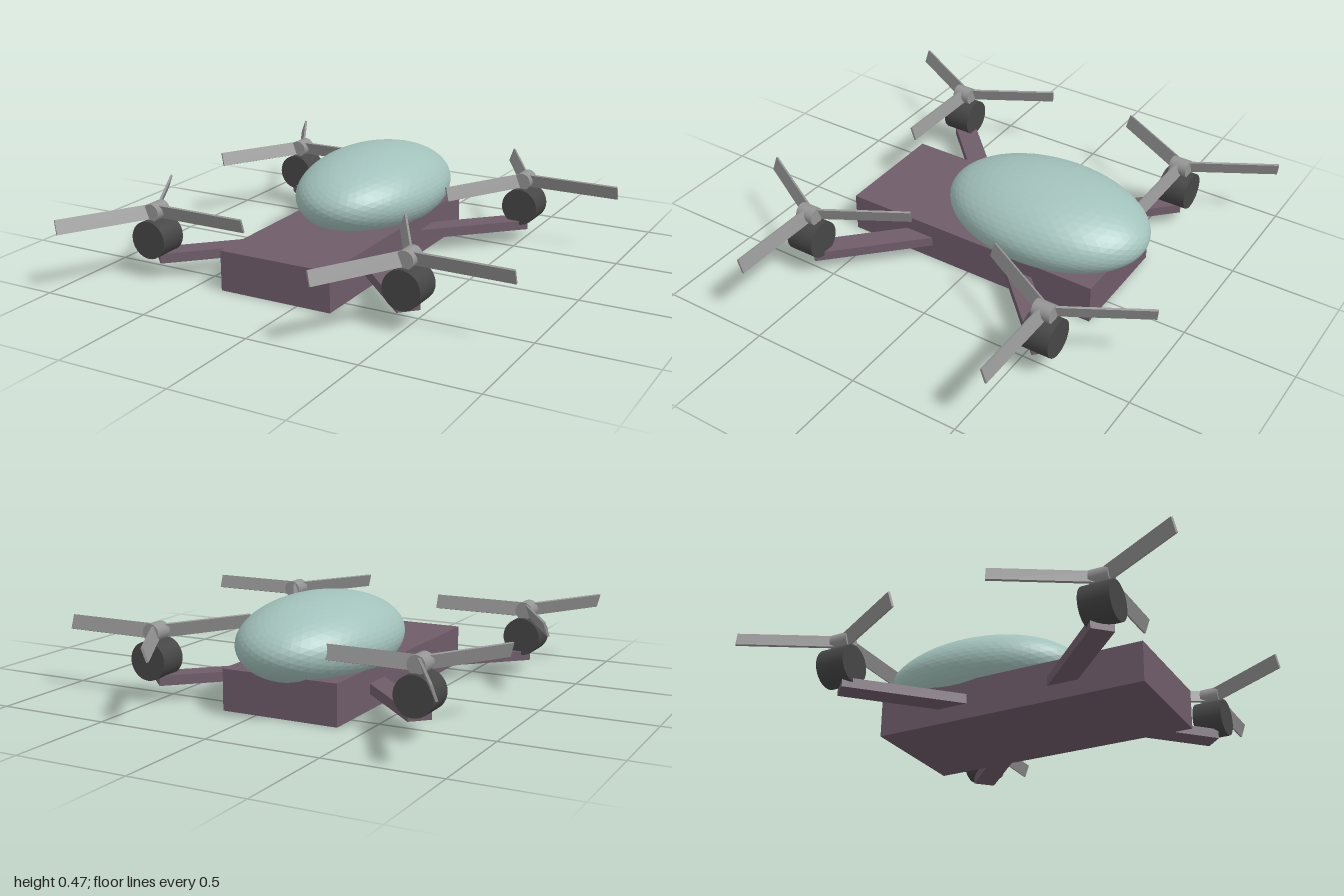
import * as THREE from 'three';

const material = (color, flatShading = false) => new THREE.MeshStandardMaterial({ color, flatShading });

function part(name, geometry, mat, x = 0, y = 0, z = 0) {
  const mesh = new THREE.Mesh(geometry, mat);
  mesh.name = name;
  mesh.position.set(x, y, z);
  return mesh;
}

export function createModel() {
  const model = new THREE.Group();
  model.name = 'quadcopter';

  const frameMat = material(0x6f5c6a);
  const domeMat = material(0xa3c2bc, true);
  const motorMat = material(0x464646);
  const rotorMat = material(0x959595);

  const centreX = -0.108; // the blades reach further to +x, so the body sits off centre
  const motorX = 0.614, motorZ = 0.603;

  // Body slab
  model.add(part('body', new THREE.BoxGeometry(0.535, 0.18, 1.25), frameMat, centreX, 0.09, 0));

  // Egg-shaped canopy sunk into the rear of the body
  const dome = new THREE.IcosahedronGeometry(1, 9).scale(0.32, 0.19, 0.482);
  model.add(part('canopy', dome, domeMat, centreX, 0.275, -0.255));

  // Shared geometry for the four rotor units
  const armLength = Math.hypot(motorX, motorZ);
  const armGeo = new THREE.BoxGeometry(armLength, 0.044, 0.1).translate(armLength / 2, 0, 0);
  const motorGeo = new THREE.CylinderGeometry(0.085, 0.085, 0.135, 32).rotateX(Math.PI / 2);
  const hubGeo = new THREE.CylinderGeometry(0.04, 0.04, 0.085, 24).rotateX(Math.PI / 2);
  // Thin blade pitched about its own length
  const bladeGeo = new THREE.BoxGeometry(0.448, 0.0645, 0.01).rotateX(0.33).translate(0.224, 0, 0);

  for (const sx of [-1, 1]) {
    for (const sz of [-1, 1]) {
      const unit = new THREE.Group();
      unit.name = (sz > 0 ? 'front' : 'rear') + (sx > 0 ? 'Left' : 'Right') + 'Unit';
      unit.position.x = centreX;

      // Diagonal arm from the body centre to the motor
      const arm = part('arm', armGeo, frameMat, 0, 0.092, 0);
      arm.rotation.y = Math.atan2(-sz * motorZ, sx * motorX);
      unit.add(arm);

      unit.add(part('motor', motorGeo, motorMat, sx * motorX, 0.181, sz * motorZ));

      // Three-bladed propeller
      const propeller = new THREE.Group();
      propeller.name = 'propeller';
      propeller.position.set(sx * motorX, 0.298, sz * motorZ);
      propeller.add(part('hub', hubGeo, rotorMat));
      for (let i = 0; i < 3; i++) {
        const blade = part('blade', bladeGeo, rotorMat);
        blade.rotation.y = (i * Math.PI * 2) / 3;
        propeller.add(blade);
      }
      unit.add(propeller);
      model.add(unit);
    }
  }
  return model;
}
